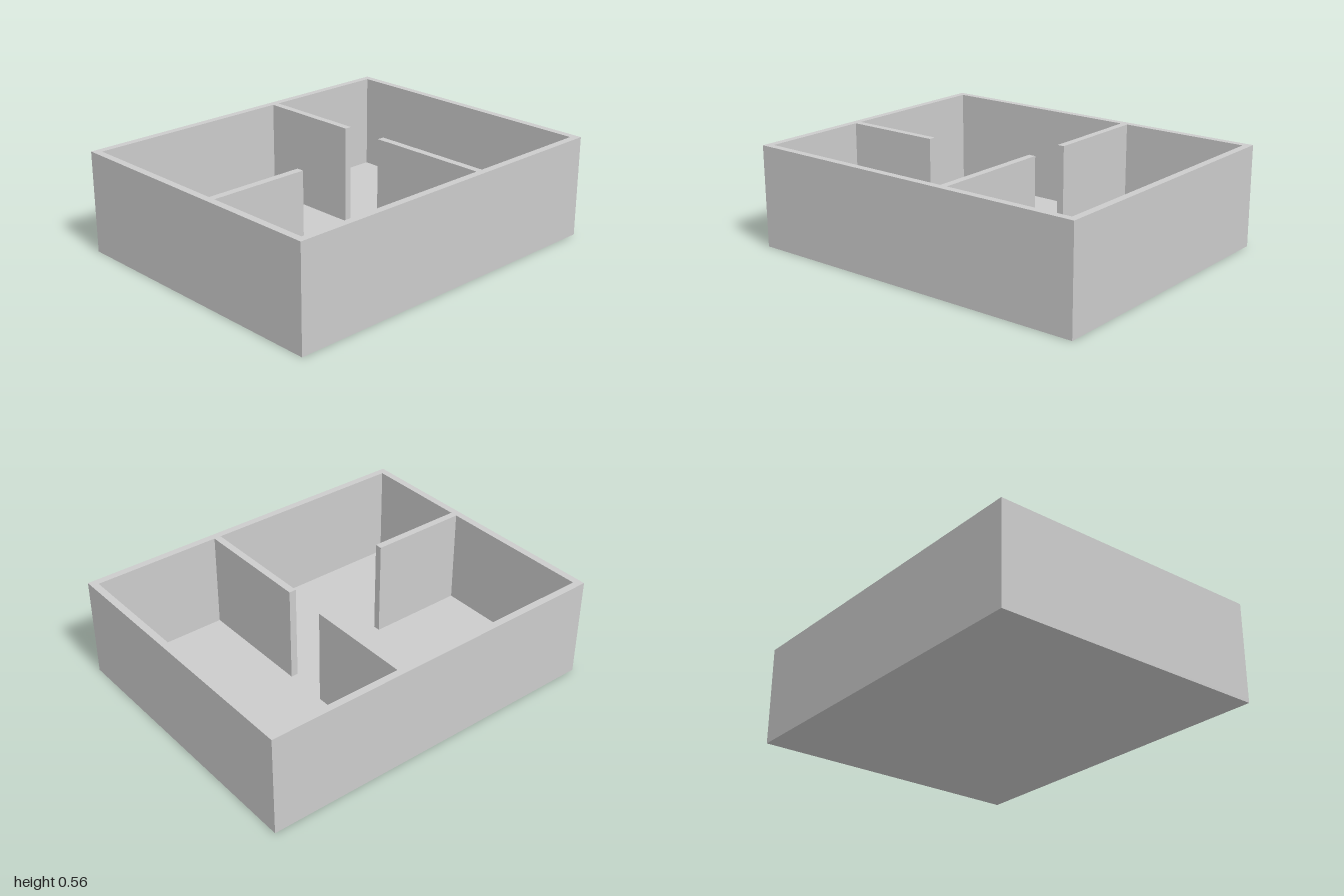
import * as THREE from 'three';

const W = 2, D = 1.6, H = 0.56, WALL = 0.04, FLOOR = 0.02;

export function createModel() {
  const group = new THREE.Group();
  group.name = 'openRoomBox';
  const material = new THREE.MeshStandardMaterial({ color: 0xcccccc, flatShading: true });

  // Floor slab
  const floor = new THREE.Mesh(new THREE.BoxGeometry(W, FLOOR, D).translate(0, FLOOR / 2, 0), material);
  floor.name = 'floor';

  // Wall plan, drawn in x and z: outer rectangle minus the connected rooms
  const x = W / 2, z = D / 2, ix = x - WALL, iz = z - WALL;
  const plan = new THREE.Shape([[-x, -z], [x, -z], [x, z], [-x, z]].map(p => new THREE.Vector2(...p)));
  const px = 0.2, doorBack = -0.165, doorFront = 0.08; // cross partition and its doorway
  const sz = 0.12, sx = -0.405;                        // side partition and its free end
  const rooms = [
    [-ix, -iz], [px, -iz], [px, doorBack], [px + WALL, doorBack], [px + WALL, -iz], [ix, -iz],
    [ix, iz], [px + WALL, iz], [px + WALL, doorFront], [px, doorFront], [px, iz], [-ix, iz],
    [-ix, sz + WALL], [sx, sz + WALL], [sx, sz], [-ix, sz],
  ];
  plan.holes.push(new THREE.Path(rooms.map(p => new THREE.Vector2(...p))));

  // Outer walls and partitions, extruded down from the rim to the floor
  const wallGeometry = new THREE.ExtrudeGeometry(plan, { depth: H - FLOOR, bevelEnabled: false });
  wallGeometry.rotateX(Math.PI / 2).translate(0, H, 0);
  const walls = new THREE.Mesh(wallGeometry, material);
  walls.name = 'wallsAndPartitions';

  group.add(floor, walls);
  return group;
}
